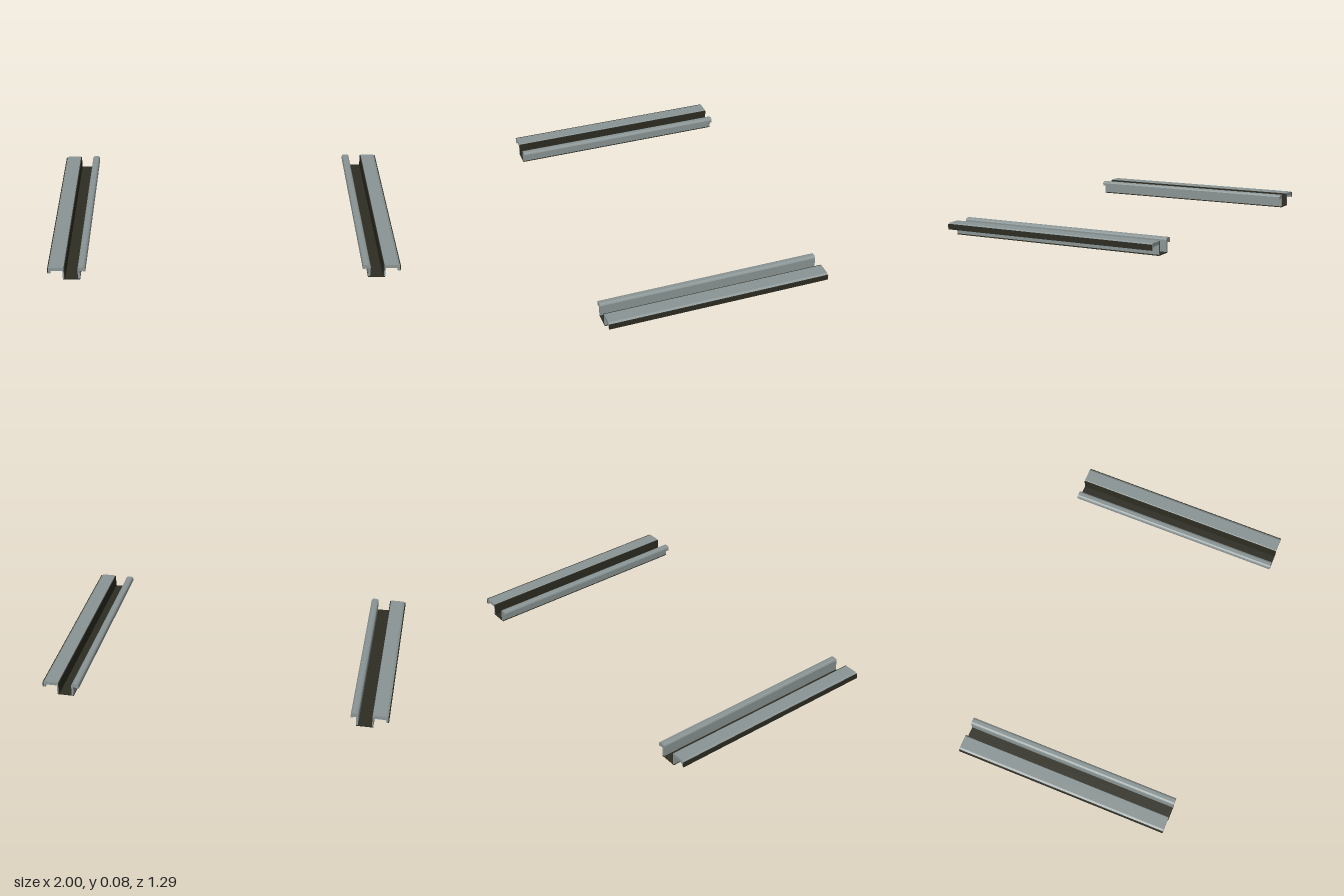
import * as THREE from 'three';

const LENGTH = 1.29;

export function createModel() {
  const steel = new THREE.MeshStandardMaterial({ color: 0x8b9595 });
  steel.name = 'greySteel';
  const dark = new THREE.MeshStandardMaterial({ color: 0x2d2d23 });
  dark.name = 'darkLining';

  // Extrudes a cross-section along z; side mirrors it in x
  function strip(name, points, material, side) {
    const shape = new THREE.Shape(points.map(([x, y]) => new THREE.Vector2(x * side, y)));
    const geometry = new THREE.ExtrudeGeometry(shape, { depth: LENGTH, bevelEnabled: false });
    geometry.translate(0, 0, -LENGTH / 2);
    const mesh = new THREE.Mesh(geometry, material);
    mesh.name = name;
    return mesh;
  }

  const rect = (x0, y0, x1, y1) => [[x0, y0], [x1, y0], [x1, y1], [x0, y1]];

  // Inner wall with its rounded hook
  const hook = [
    [0.817, 0.006], [0.829, 0.006], [0.829, 0.071], [0.825, 0.078], [0.816, 0.082],
    [0.797, 0.082], [0.789, 0.078], [0.785, 0.07], [0.785, 0.054], [0.797, 0.054],
    [0.801, 0.058], [0.817, 0.058],
  ];

  // Outer wall, wide top flange and downturned edge
  const flange = [
    [0.907, 0.006], [0.915, 0.006], [0.915, 0.06], [0.978, 0.06], [0.984, 0.056],
    [0.984, 0.043], [0.995, 0.043], [0.995, 0.074], [0.984, 0.08], [0.91, 0.08], [0.907, 0.078],
  ];

  const model = new THREE.Group();
  model.name = 'railPair';
  for (const side of [1, -1]) {
    const rail = new THREE.Group();
    rail.name = side > 0 ? 'leftRail' : 'rightRail';
    rail.add(
      strip('hookWall', hook, steel, side),
      strip('flangeWall', flange, steel, side),
      strip('channelFloor', rect(0.817, 0, 0.915, 0.006), dark, side),
      strip('wallLining', rect(0.902, 0.006, 0.907, 0.077), dark, side),
      strip('lipFace', rect(0.995, 0.043, 1, 0.074), dark, side),
    );
    model.add(rail);
  }
  return model;
}
